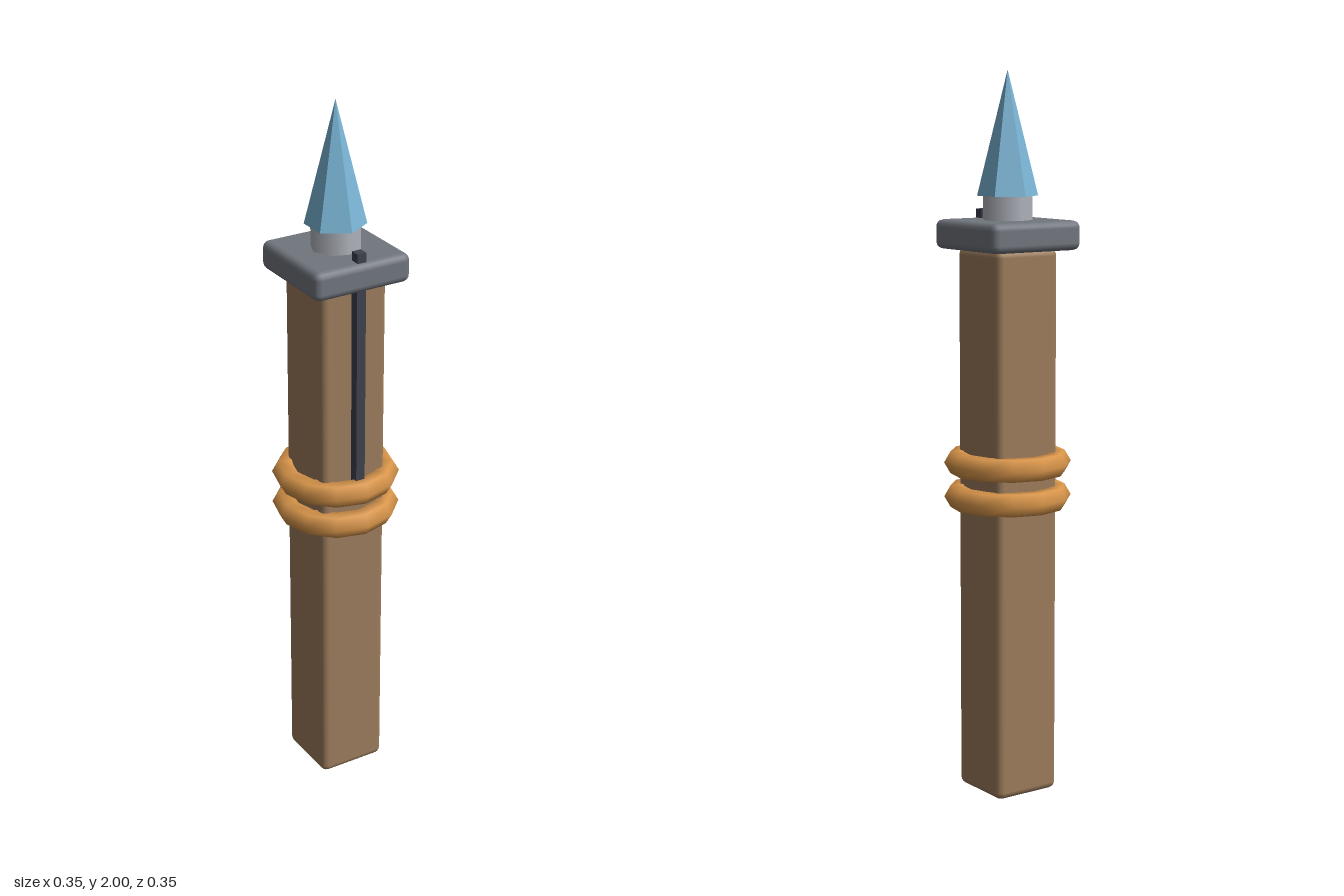
import * as THREE from 'three';
import { RoundedBoxGeometry } from 'three/addons/geometries/RoundedBoxGeometry.js';

const material = (name, color, flatShading = false) => {
  const m = new THREE.MeshStandardMaterial({ color, flatShading });
  m.name = name;
  return m;
};

export function createModel() {
  const wood = material('wood', 0x9c7c5c);
  const iron = material('iron', 0x71767e);
  const steel = material('steel', 0xb0b4bc);
  const crystal = material('crystal', 0x7ab6d6, true);
  const rope = material('rope', 0xd8954a);
  const darkMetal = material('dark metal', 0x3f414e);

  const model = new THREE.Group();
  const add = (name, geometry, mat, x, y, z) => {
    const mesh = new THREE.Mesh(geometry, mat);
    mesh.name = name;
    mesh.position.set(x, y, z);
    model.add(mesh);
    return mesh;
  };

  // Square post with softened edges, and the slab capping it
  add('post', new RoundedBoxGeometry(0.2, 1.525, 0.2, 2, 0.02), wood, 0, 0.7625, 0);
  add('cap', new RoundedBoxGeometry(0.29, 0.08, 0.29, 2, 0.02), iron, 0, 1.56, 0);

  // Collar reaching slightly into the six-sided spike
  add('collar', new THREE.CylinderGeometry(0.068, 0.068, 0.09, 8), steel, 0, 1.635, 0);
  add('spike', new THREE.ConeGeometry(0.083, 0.335, 6), crystal, 0, 1.8325, 0);

  // Two faceted rings bound around the post
  for (const y of [0.84, 0.935]) {
    add('ring', new THREE.TorusGeometry(0.141, 0.035, 6, 12), rope, 0, y, 0).rotation.x = Math.PI / 2;
  }

  // Thin rod on the front, poking through the cap
  add('rod', new THREE.BoxGeometry(0.027, 0.7, 0.027), darkMetal, 0, 1.275, 0.117);

  return model;
}
